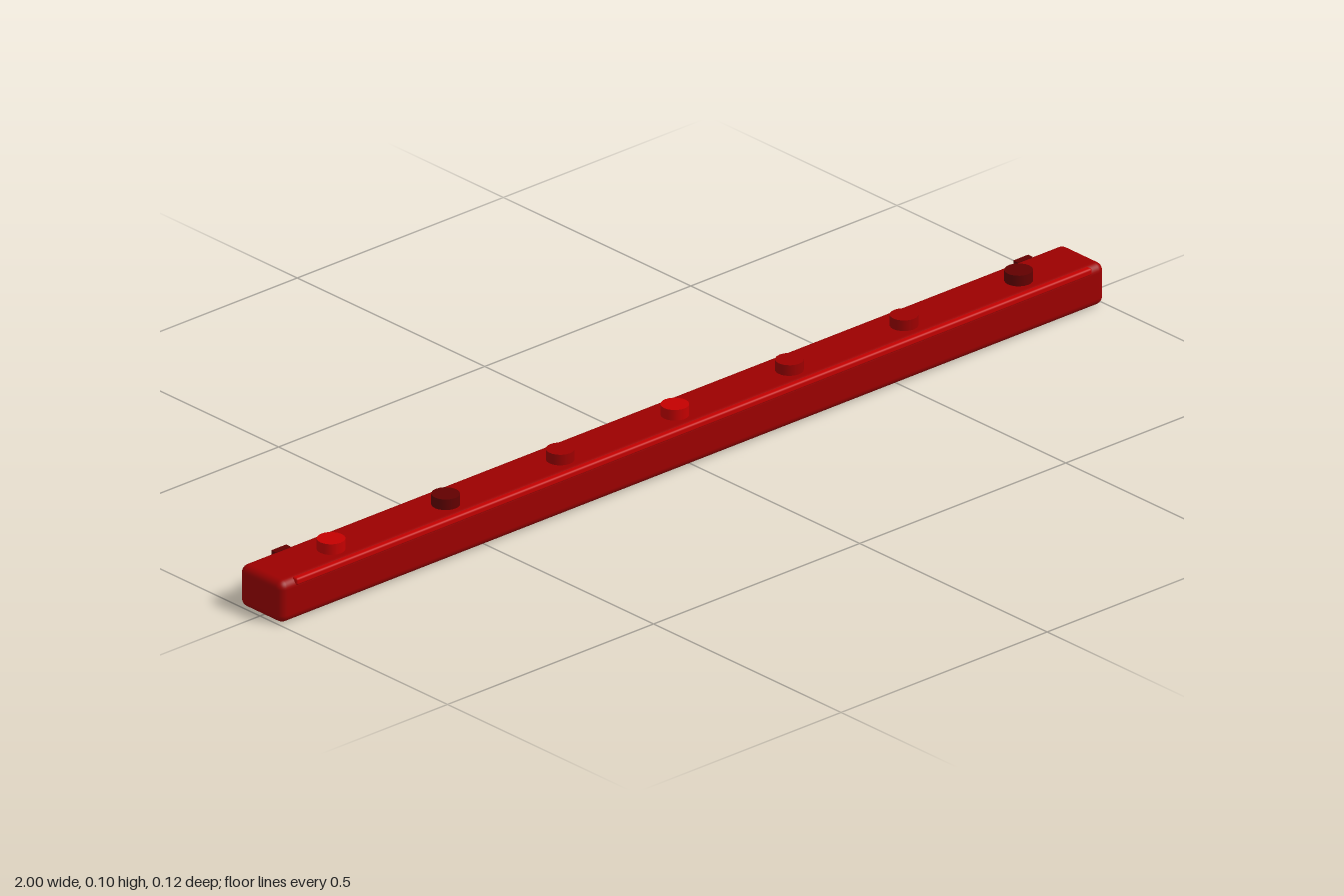
import * as THREE from 'three';
import { RoundedBoxGeometry } from 'three/addons/geometries/RoundedBoxGeometry.js';

const material = (name, color) => {
  const m = new THREE.MeshStandardMaterial({ color });
  m.name = name;
  return m;
};

export function createModel() {
  const group = new THREE.Group();
  group.name = 'buttonBar';
  const red = material('deep red', 0x9c0000);
  const bright = material('bright red', 0xc40000);
  const dark = material('dark maroon', 0x620000);

  const add = (name, geometry, mat, x, y, z) => {
    const mesh = new THREE.Mesh(geometry, mat);
    mesh.name = name;
    mesh.position.set(x, y, z);
    group.add(mesh);
  };

  // Long housing with softly rounded edges
  add('housing', new RoundedBoxGeometry(2, 0.083, 0.115, 4, 0.016), red, 0, 0.0415, -0.0005);

  // Thin bright lip along the upper front edge
  add('frontLip', new RoundedBoxGeometry(1.93, 0.014, 0.014, 2, 0.004), bright, 0, 0.0764, 0.053);

  // Row of seven round buttons
  const buttonGeometry = new THREE.CylinderGeometry(0.026, 0.026, 0.026, 20);
  const buttonColours = [bright, dark, red, bright, red, red, dark];
  buttonColours.forEach((mat, i) => {
    add('button' + (i + 1), buttonGeometry, mat, (i - 3) * 0.278, 0.091, 0.007);
  });

  // Rear clips: a dark tab at the top and bottom of the back, near each end
  const tabGeometry = new THREE.BoxGeometry(0.036, 0.025, 0.012);
  for (const x of [-0.9, 0.9]) {
    for (const y of [0.0125, 0.0708]) add('rearClipTab', tabGeometry, dark, x, y, -0.054);
  }

  return group;
}
